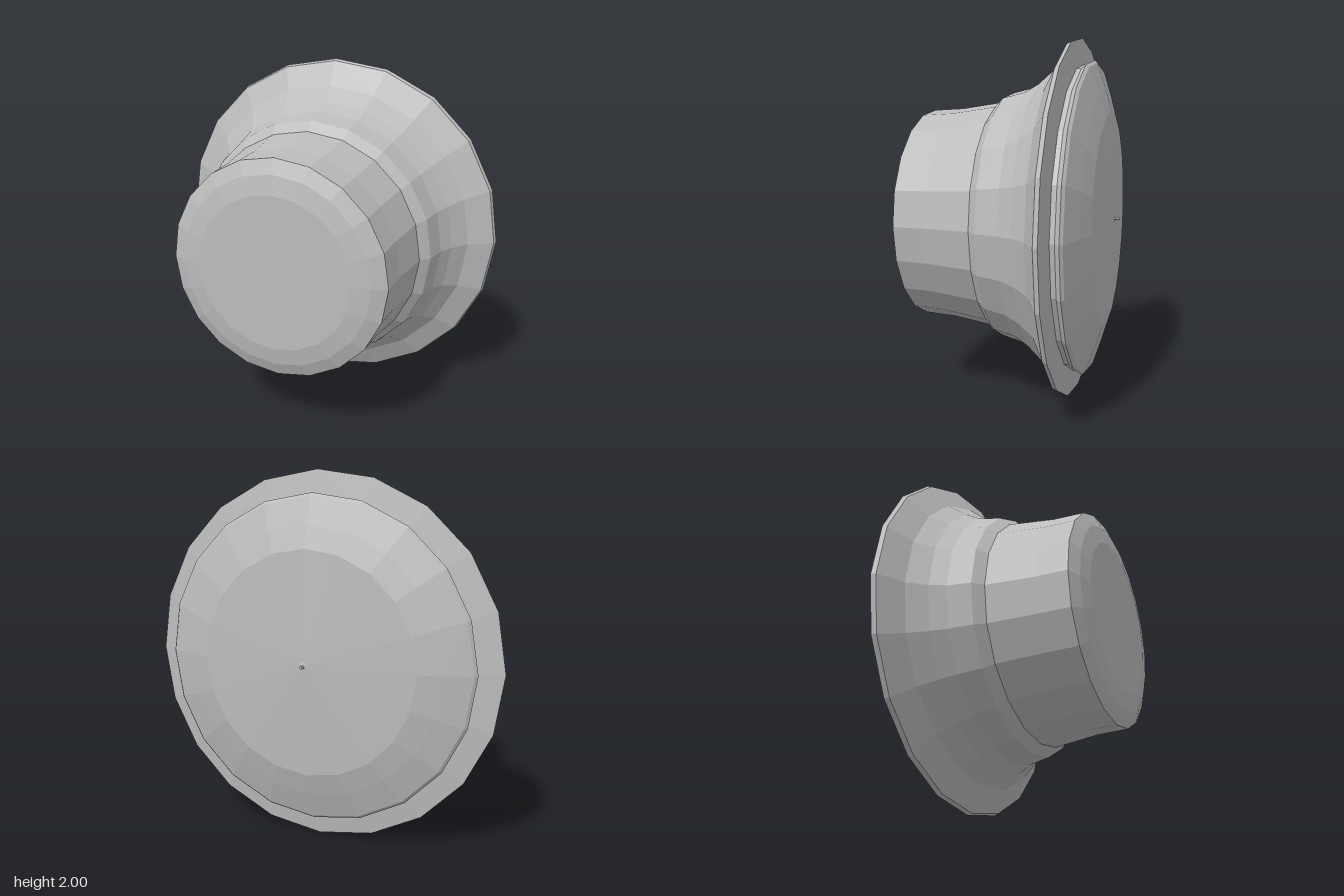
import * as THREE from 'three';

const SIDES = 20;
const grey = new THREE.MeshStandardMaterial({ color: 0xbcbcbc });
grey.name = 'plain grey';

// Faceted ring turned about the z axis; profile is [radius, z] from back to front
function turned(name, profile) {
  const points = profile.map(([r, z]) => new THREE.Vector2(r, z));
  const geometry = new THREE.LatheGeometry(points, SIDES).rotateX(Math.PI / 2).toNonIndexed();
  geometry.computeVertexNormals();
  const mesh = new THREE.Mesh(geometry, grey);
  mesh.name = name;
  mesh.position.y = 1;
  return mesh;
}

export function createModel() {
  const group = new THREE.Group();
  group.name = 'turnedKnob';
  group.add(
    // Small pin at the centre of the back
    turned('backPin', [[0, -0.578], [0.008, -0.578], [0.008, -0.555]]),
    // Shallow domed back plate
    turned('backPlate', [[0.008, -0.555], [0.02, -0.551], [0.6, -0.523], [0.72, -0.488], [0.865, -0.44]]),
    // Bead and groove between back plate and flange
    turned('backBead', [[0.865, -0.44], [0.88, -0.425], [0.86, -0.4], [0.86, -0.375]]),
    // Wide flange edge
    turned('flangeRim', [[0.86, -0.375], [1, -0.355], [0.99, -0.33]]),
    // Flared bell sweeping in to the collar
    turned('flare', [[0.99, -0.33], [0.855, -0.255], [0.78, -0.165], [0.735, -0.085], [0.705, 0.04], [0.655, 0.09]]),
    // Barrel
    turned('barrel', [[0.655, 0.09], [0.617, 0.35], [0.608, 0.525]]),
    // Chamfered flat front
    turned('frontCap', [[0.608, 0.525], [0.53, 0.557], [0.43, 0.575], [0, 0.575]]),
  );
  return group;
}
